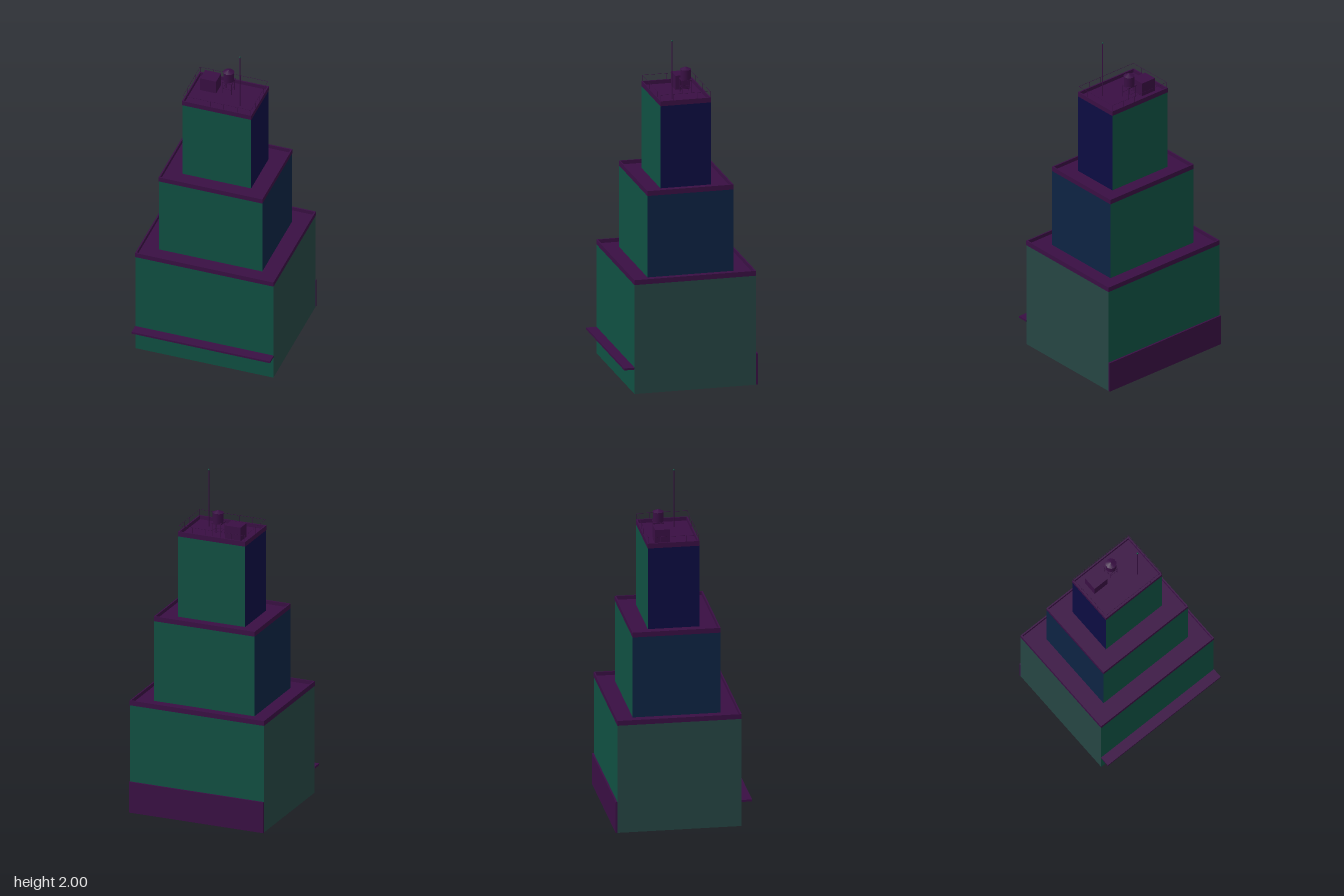
import * as THREE from 'three';

const purple = new THREE.MeshStandardMaterial({ color: 0x390f43 });
purple.name = 'darkPurple';
const green = new THREE.MeshStandardMaterial({ color: 0x105042, side: THREE.DoubleSide });
green.name = 'deepGreen';
const grey = new THREE.MeshStandardMaterial({ color: 0x254543, side: THREE.DoubleSide });
grey.name = 'slateGrey';
const navy = new THREE.MeshStandardMaterial({ color: 0x0d2343, side: THREE.DoubleSide });
navy.name = 'navy';
const indigo = new THREE.MeshStandardMaterial({ color: 0x0c0c42, side: THREE.DoubleSide });
indigo.name = 'darkIndigo';

const CZ = -0.025; // shared centre line of the tiers

function add(parent, name, geometry, material, x = 0, y = 0, z = 0) {
  const mesh = new THREE.Mesh(geometry, material);
  mesh.name = name;
  mesh.position.set(x, y, z);
  parent.add(mesh);
  return mesh;
}

// Box given by its lower and upper corners
function block(parent, name, [x0, y0, z0], [x1, y1, z1], material = purple) {
  return add(parent, name, new THREE.BoxGeometry(x1 - x0, y1 - y0, z1 - z0), material,
    (x0 + x1) / 2, (y0 + y1) / 2, (z0 + z1) / 2);
}

// Thin square or round bar between two points
function bar(parent, name, a, b, radius, sides = 4) {
  const from = new THREE.Vector3(...a), to = new THREE.Vector3(...b);
  const dir = to.clone().sub(from);
  const mesh = add(parent, name, new THREE.CylinderGeometry(radius, radius, dir.length(), sides), purple);
  mesh.position.copy(from).add(to).multiplyScalar(0.5);
  mesh.quaternion.setFromUnitVectors(new THREE.Vector3(0, 1, 0), dir.normalize());
  return mesh;
}

// One storey block: four walls, roof deck and raised parapet
function makeTier(name, hx, hz, y0, y1, sideMaterial) {
  const tier = new THREE.Group();
  tier.name = name;
  tier.position.z = CZ;
  const deck = y1 - 0.022, h = deck - y0, mid = (y0 + deck) / 2;
  const wx = hx - 0.001, wz = hz - 0.001;
  for (const s of [1, -1]) {
    const face = add(tier, s > 0 ? 'frontWall' : 'backWall', new THREE.PlaneGeometry(2 * wx, h), green, 0, mid, s * wz);
    face.rotation.y = s > 0 ? 0 : Math.PI;
    const side = add(tier, s > 0 ? 'leftWall' : 'rightWall', new THREE.PlaneGeometry(2 * wz, h), sideMaterial, s * wx, mid, 0);
    side.rotation.y = s * Math.PI / 2;
  }
  block(tier, 'roofDeck', [-wx, deck - 0.006, -wz], [wx, deck, wz]);

  const rim = new THREE.Shape([[-hx, -hz], [hx, -hz], [hx, hz], [-hx, hz]].map(p => new THREE.Vector2(...p)));
  const ix = hx - 0.008, iz = hz - 0.008;
  rim.holes.push(new THREE.Path([[-ix, -iz], [-ix, iz], [ix, iz], [ix, -iz]].map(p => new THREE.Vector2(...p))));
  const parapet = new THREE.ExtrudeGeometry(rim, { depth: 0.029, bevelEnabled: false });
  parapet.rotateX(-Math.PI / 2);
  add(tier, 'parapet', parapet, purple, 0, y1 - 0.029, 0);
  return tier;
}

function makeRailing() {
  const railing = new THREE.Group();
  railing.name = 'roofRailing';
  const hx = 0.206, hz = 0.146, y0 = 1.665, y1 = 1.706, r = 0.001;
  for (const s of [1, -1]) {
    bar(railing, 'longRail', [-hx, y1, CZ + s * hz], [hx, y1, CZ + s * hz], r);
    bar(railing, 'shortRail', [s * hx, y1, CZ - hz], [s * hx, y1, CZ + hz], r);
    for (let i = 0; i <= 5; i++) {
      const x = -hx + 2 * hx * i / 5;
      bar(railing, 'post', [x, y0, CZ + s * hz], [x, y1, CZ + s * hz], r);
    }
    for (let i = 1; i < 4; i++) {
      const z = CZ - hz + 2 * hz * i / 4;
      bar(railing, 'post', [s * hx, y0, z], [s * hx, y1, z], r);
    }
  }
  return railing;
}

function makeWaterTank() {
  const tank = new THREE.Group();
  tank.name = 'waterTank';
  tank.position.set(0, 0, -0.08);
  const a = 0.026;
  for (const sx of [1, -1]) {
    for (const sz of [1, -1]) bar(tank, 'leg', [sx * a, 1.647, sz * a], [sx * a, 1.726, sz * a], 0.002);
    bar(tank, 'brace', [sx * a, 1.68, -a], [sx * a, 1.68, a], 0.0015);
    bar(tank, 'brace', [-a, 1.68, sx * a], [a, 1.68, sx * a], 0.0015);
  }
  block(tank, 'platform', [-0.03, 1.722, -0.03], [0.03, 1.728, 0.03]);
  add(tank, 'barrel', new THREE.CylinderGeometry(0.031, 0.031, 0.06, 10), purple, 0, 1.758, 0);
  add(tank, 'cap', new THREE.ConeGeometry(0.033, 0.015, 10), purple, 0, 1.7945, 0);
  return tank;
}

export function createModel() {
  const building = new THREE.Group();
  building.name = 'steppedTower';

  // Three stepped blocks
  building.add(
    makeTier('lowerTier', 0.42, 0.36, 0, 0.68, grey),
    makeTier('middleTier', 0.315, 0.255, 0.655, 1.173, navy),
    makeTier('upperTier', 0.21, 0.15, 1.148, 1.67, indigo),
  );

  // Street level: inner floor, front canopy and rear plinth
  block(building, 'innerFloor', [-0.416, 0.147, -0.381], [0.416, 0.157, 0.331]);
  block(building, 'frontCanopy', [-0.42, 0.146, 0.334], [0.42, 0.158, 0.395]);
  block(building, 'rearPlinth', [-0.42, 0, -0.395], [0.42, 0.187, -0.385]);

  // Roof equipment
  building.add(makeRailing(), makeWaterTank());
  block(building, 'plantRoom', [-0.158, 1.646, -0.123], [-0.061, 1.731, -0.037]);
  bar(building, 'mast', [0.107, 1.646, 0.028], [0.107, 1.992, 0.028], 0.0028, 6);
  add(building, 'mastTip', new THREE.SphereGeometry(0.005, 8, 6), green, 0.107, 1.995, 0.028);
  return building;
}
